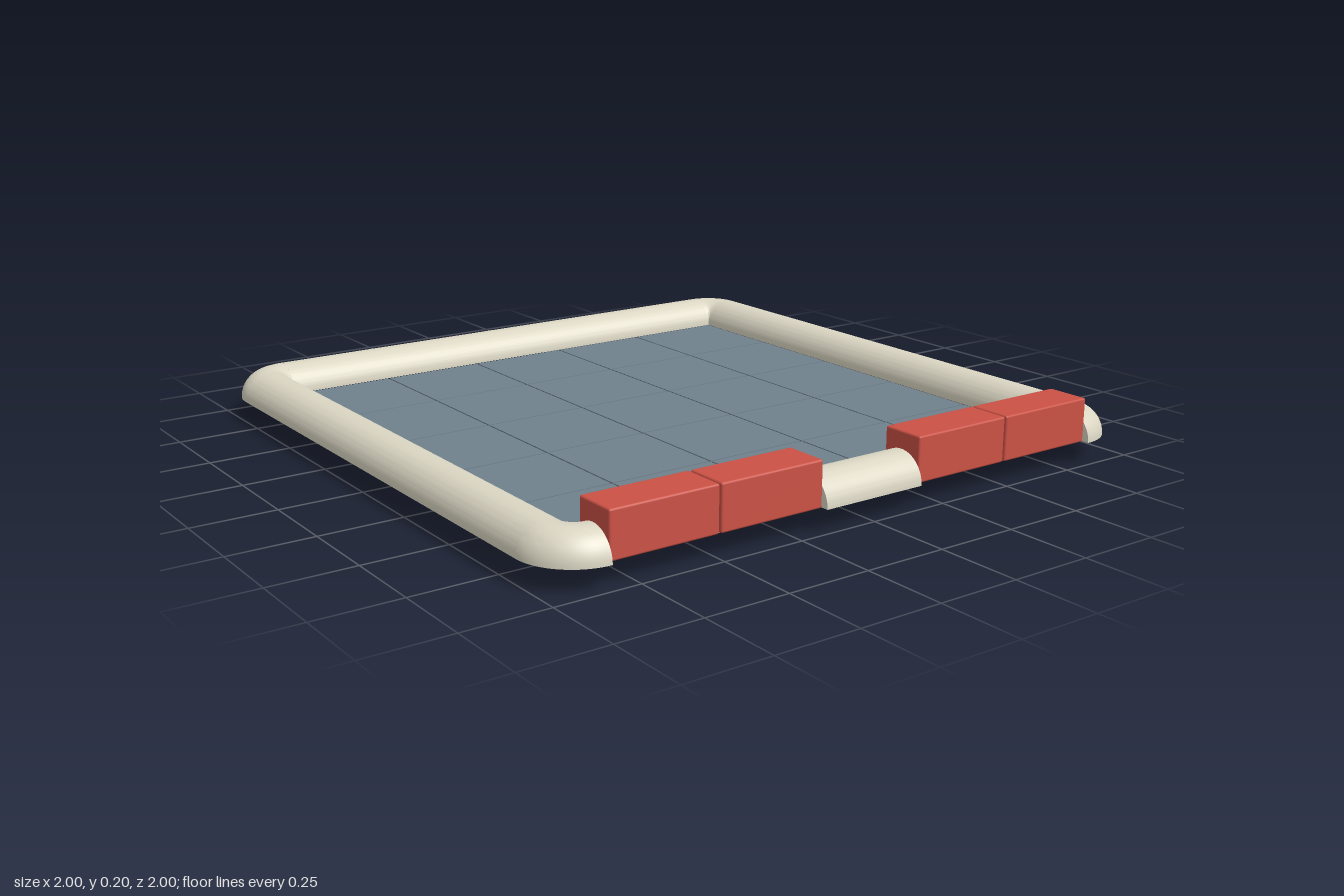
import * as THREE from 'three';
import { toCreasedNormals } from 'three/addons/utils/BufferGeometryUtils.js';
import { RoundedBoxGeometry } from 'three/addons/geometries/RoundedBoxGeometry.js';

const CELL = 1 / 3;          // grid pitch
const SIZE = 0.328;          // tile and block width, leaving a thin joint
const FLOOR = 0.067;         // tile thickness, underside of the rim
const INNER = 2.5 * CELL;    // half width of the tiled area
const R = CELL / 4;          // rim profile radius
const MID = INNER + R;       // centre line of the rim

export function createModel() {
  const slate = new THREE.MeshStandardMaterial({ color: 0x70818c });
  slate.name = 'slate tile';
  const cream = new THREE.MeshStandardMaterial({ color: 0xdbd6c3 });
  cream.name = 'cream rim';
  const red = new THREE.MeshStandardMaterial({ color: 0xcb5145 });
  red.name = 'red block';

  const model = new THREE.Group();
  model.name = 'tiledTray';
  const addGroup = (name) => {
    const group = new THREE.Group();
    group.name = name;
    model.add(group);
    return group;
  };
  const addMesh = (parent, name, geometry, material, x, y, z, turn = 0) => {
    const mesh = new THREE.Mesh(geometry, material);
    mesh.name = name;
    mesh.position.set(x, y, z);
    mesh.rotation.y = turn;
    parent.add(mesh);
  };

  // Floor of 5 x 5 separate tiles
  const floor = addGroup('floor');
  const tile = new THREE.BoxGeometry(SIZE, FLOOR, SIZE);
  for (let i = -2; i <= 2; i++) {
    for (let j = -2; j <= 2; j++) {
      addMesh(floor, 'tile', tile, slate, i * CELL, FLOOR / 2, j * CELL);
    }
  }

  // Straight half-round rim pieces
  const rim = addGroup('rim');
  const profile = new THREE.Shape();
  profile.absarc(0, 0, R, 0, Math.PI, false);
  profile.closePath();
  const bar = (length) => {
    const geometry = new THREE.ExtrudeGeometry(profile, {
      depth: length, bevelEnabled: false, curveSegments: 24,
    });
    return toCreasedNormals(geometry.translate(0, 0, -length / 2), 0.6);
  };
  const longBar = bar(2 * INNER);
  addMesh(rim, 'leftRim', longBar, cream, MID, FLOOR, 0);
  addMesh(rim, 'rightRim', longBar, cream, -MID, FLOOR, 0);
  addMesh(rim, 'backRim', longBar, cream, 0, FLOOR, -MID, Math.PI / 2);
  addMesh(rim, 'frontRim', bar(CELL), cream, 0, FLOOR, MID, Math.PI / 2);

  // Corners: the same profile turned about the inner corner
  const points = [new THREE.Vector2(0, 0)];
  for (let i = 0; i <= 24; i++) {
    const a = (i / 24) * Math.PI;
    points.push(new THREE.Vector2(Math.max(0, R + R * Math.cos(a)), R * Math.sin(a)));
  }
  const corner = toCreasedNormals(new THREE.LatheGeometry(points, 16, 0, Math.PI / 2), 0.6);
  for (let i = 0; i < 4; i++) {
    const sx = i < 2 ? 1 : -1;
    const sz = i === 0 || i === 3 ? 1 : -1;
    addMesh(rim, 'rimCorner', corner, cream, sx * INNER, FLOOR, sz * INNER, i * Math.PI / 2);
  }

  // End faces of the two open front corners
  const cap = new THREE.ShapeGeometry(profile, 24);
  for (const s of [-1, 1]) {
    addMesh(rim, 'rimEnd', cap, cream, s * INNER, FLOOR, MID, -s * Math.PI / 2);
  }

  // Raised blocks along the front, two on each side
  const blocks = addGroup('frontBlocks');
  const height = 0.133;
  const block = new RoundedBoxGeometry(SIZE, height, 0.132, 2, 0.006);
  for (const i of [-2, -1, 1, 2]) {
    addMesh(blocks, 'block', block, red, i * CELL, FLOOR + height / 2, MID);
  }

  return model;
}
